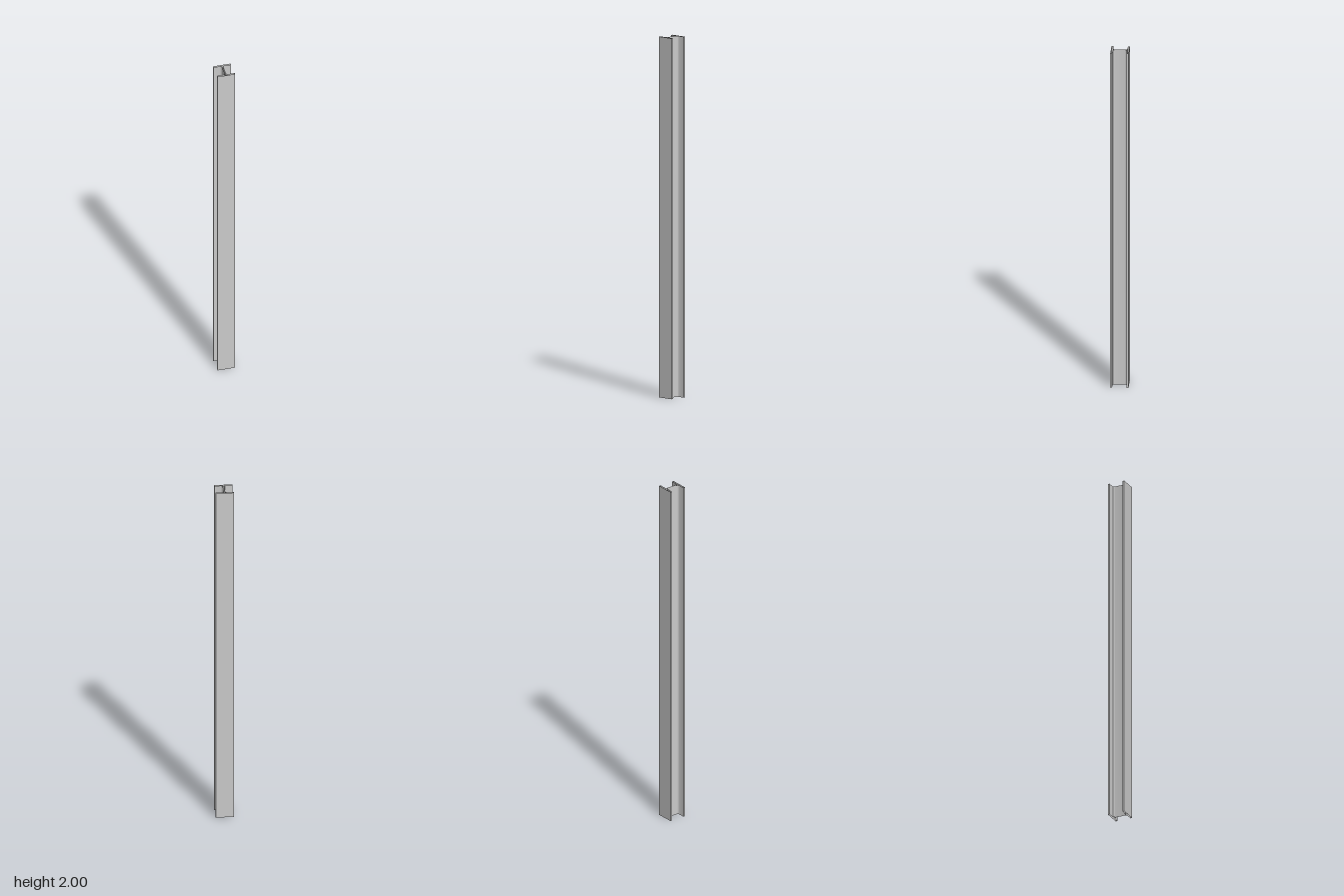
import * as THREE from 'three';
import { toCreasedNormals } from 'three/addons/utils/BufferGeometryUtils.js';

const LENGTH = 2;
const HALF = 0.05;    // half of the flange width and of the section depth
const FLANGE = 0.01;  // flange thickness
const WEB = 0.006;    // web thickness
const FILLET = 0.012; // radius between web and flange

// I-shaped cross-section with filleted inner corners
function beamSection() {
  const inner = HALF - FLANGE;
  const cx = WEB / 2 + FILLET;
  const cy = inner - FILLET;
  const s = new THREE.Shape();
  s.moveTo(-HALF, -HALF);
  s.lineTo(HALF, -HALF);
  s.lineTo(HALF, -inner);
  s.absarc(cx, -cy, FILLET, -Math.PI / 2, -Math.PI, true);
  s.absarc(cx, cy, FILLET, Math.PI, Math.PI / 2, true);
  s.lineTo(HALF, inner);
  s.lineTo(HALF, HALF);
  s.lineTo(-HALF, HALF);
  s.lineTo(-HALF, inner);
  s.absarc(-cx, cy, FILLET, Math.PI / 2, 0, true);
  s.absarc(-cx, -cy, FILLET, 0, -Math.PI / 2, true);
  s.lineTo(-HALF, -inner);
  s.closePath();
  return s;
}

// Extrude the section and keep only its walls, leaving both ends open
function openExtrusion(shape, depth) {
  const solid = new THREE.ExtrudeGeometry(shape, { depth, bevelEnabled: false, curveSegments: 6 });
  const { start, count } = solid.groups[1];
  const walls = new THREE.BufferGeometry();
  const positions = solid.attributes.position.array.slice(start * 3, (start + count) * 3);
  walls.setAttribute('position', new THREE.BufferAttribute(positions, 3));
  walls.rotateX(-Math.PI / 2);
  return toCreasedNormals(walls, Math.PI / 6);
}

export function createModel() {
  const group = new THREE.Group();
  group.name = 'steelColumn';
  const material = new THREE.MeshStandardMaterial({ color: 0xcccccc, side: THREE.DoubleSide });
  const beam = new THREE.Mesh(openExtrusion(beamSection(), LENGTH), material);
  beam.name = 'iBeam';
  group.add(beam);
  return group;
}
